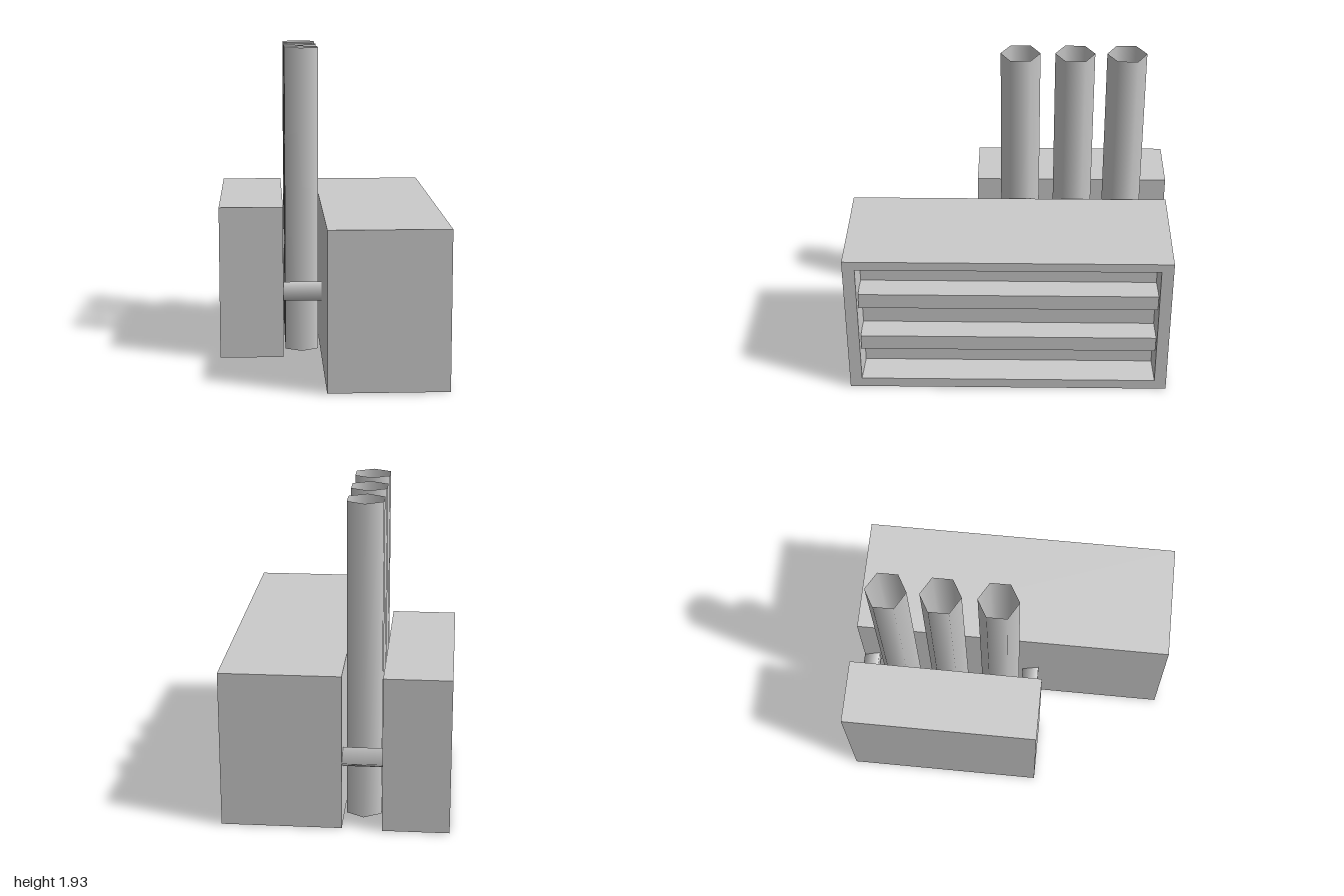
import * as THREE from 'three';

// All parts are thin open shells
const material = new THREE.MeshStandardMaterial({ color: 0xcccccc, side: THREE.DoubleSide });

function add(parent, name, geometry) {
  const mesh = new THREE.Mesh(geometry, material);
  mesh.name = name;
  parent.add(mesh);
  return mesh;
}

// Flat panels, each given by four corners counter-clockwise from outside
function panels(quads) {
  const points = quads.flatMap(([a, b, c, d]) => [a, b, c, a, c, d]);
  const geometry = new THREE.BufferGeometry();
  geometry.setAttribute('position', new THREE.Float32BufferAttribute(points.flat(), 3));
  geometry.computeVertexNormals();
  return geometry;
}

// Rectangle across x, seen from +x: bottom front, bottom back, top back, top front
function ring(x, [y0, y1], [z0, z1]) {
  return [[x, y0, z1], [x, y0, z0], [x, y1, z0], [x, y1, z1]];
}

// Four panels between two rings: bottom, back, top, front
function band(a, b) {
  return a.map((p, i) => [p, a[(i + 1) % 4], b[(i + 1) % 4], b[i]]);
}

const flip = (quad) => [...quad].reverse();

export function createModel() {
  const model = new THREE.Group();
  const height = [0.005, 0.96];

  // Large housing: bottomless, with a framed and slightly tapered recess on its left side
  const housing = new THREE.Group();
  housing.name = 'largeHousing';
  model.add(housing);
  const inner = ring(-0.04, height, [-0.984, 1]);
  const outer = ring(0.675, height, [-0.984, 1]);
  const mouth = ring(0.675, [0.07, 0.902], [-0.91, 0.925]);
  const floor = ring(0.485, [0.073, 0.897], [-0.903, 0.918]);
  add(housing, 'housingShell', panels([flip(inner), ...band(inner, outer).slice(1)]));
  add(housing, 'recessFrame', panels(band(outer, mouth)));
  add(housing, 'recess', panels([...band(mouth, floor), floor]));

  // Two slats across the recess, each a front and a top
  for (const y of [0.275, 0.592]) {
    const [back, front] = [0.485, 0.635].map((x) => ring(x, [y, y + 0.1], [-0.907, 0.92]));
    add(housing, 'slat', panels([front, band(back, front)[2]]));
  }

  // Small housing, also bottomless
  const [right, left] = [-0.675, -0.278].map((x) => ring(x, height, [-1, 0.218]));
  add(model, 'smallHousing', panels([flip(right), left, ...band(right, left).slice(1)]));

  // Three open hexagonal chimneys between the housings
  for (const z of [-0.058, -0.39, -0.705]) {
    const tube = new THREE.CylinderGeometry(0.121, 0.121, 1.932, 6, 1, true);
    add(model, 'chimney', tube).position.set(-0.158, 0.966, z);
  }

  // Three-sided pipes joining the housings, ridge to the back, ends reaching inside
  for (const z of [-0.916, 0.148]) {
    const pipe = new THREE.CylinderGeometry(0.07, 0.07, 0.5, 3, 1, true);
    pipe.rotateY(Math.PI).rotateZ(Math.PI / 2);
    add(model, 'connectingPipe', pipe).position.set(-0.16, 0.42, z);
  }

  return model;
}
